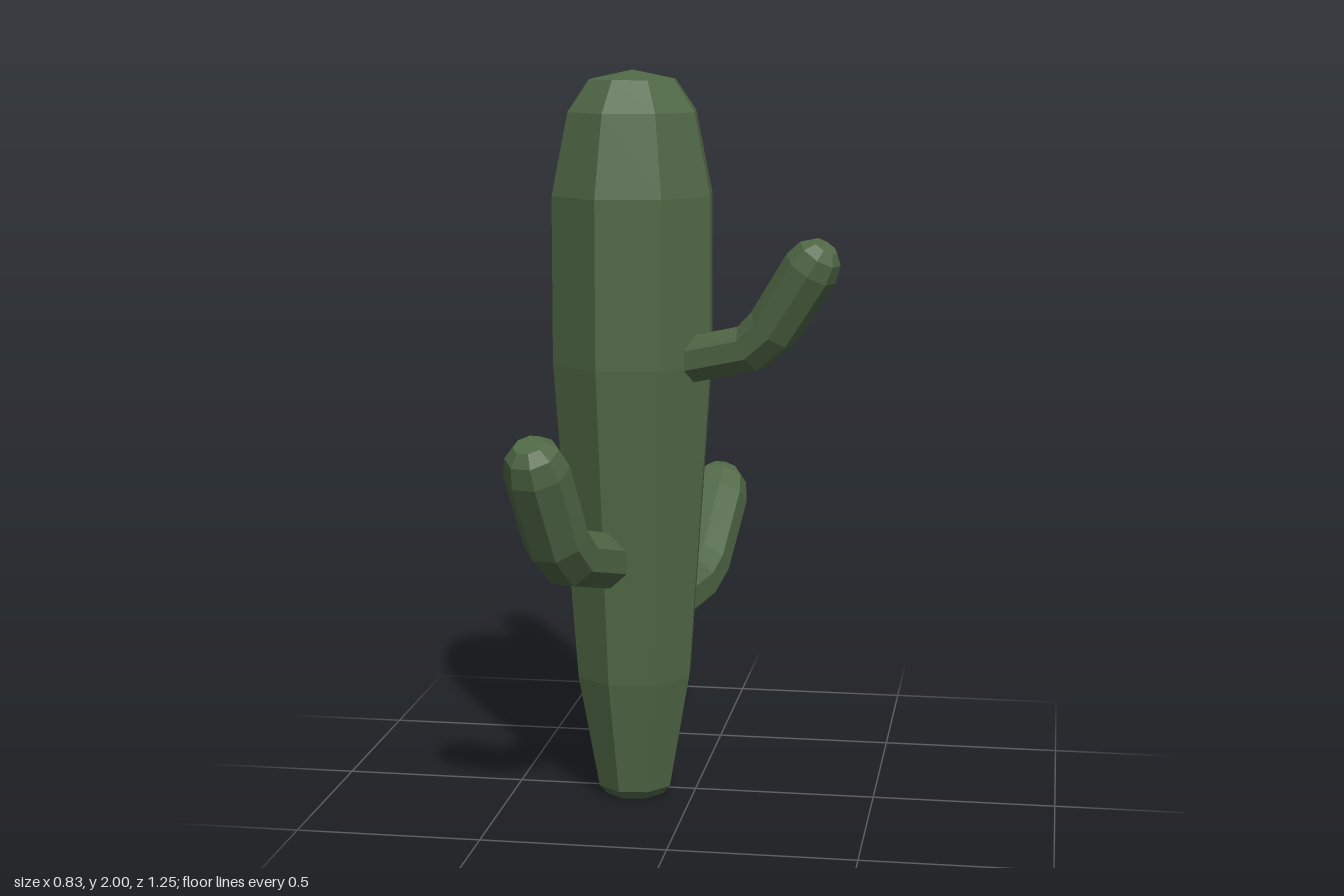
import * as THREE from 'three';

const SIDES = 8;

// Faceted tube through path points [x, y, z, radius], with closed ends
function loft(path) {
  const pts = path.map(p => new THREE.Vector3(p[0], p[1], p[2]));
  const n = pts.length;
  const run = pts[n - 1].clone().sub(pts[0]);
  const side = new THREE.Vector3(run.z, 0, -run.x).normalize();
  const pos = [], idx = [];
  pts.forEach((p, i) => {
    const before = p.clone().sub(pts[Math.max(i - 1, 0)]).normalize();
    const after = pts[Math.min(i + 1, n - 1)].clone().sub(p).normalize();
    const tangent = before.add(after).normalize();
    const s = side.clone().addScaledVector(tangent, -side.dot(tangent)).normalize();
    const up = new THREE.Vector3().crossVectors(tangent, s);
    for (let k = 0; k < SIDES; k++) {
      const a = (k + 0.5) / SIDES * Math.PI * 2;
      const v = p.clone()
        .addScaledVector(s, Math.cos(a) * path[i][3])
        .addScaledVector(up, Math.sin(a) * path[i][3]);
      pos.push(v.x, v.y, v.z);
    }
  });
  for (let i = 0; i < n - 1; i++) {
    for (let k = 0; k < SIDES; k++) {
      const a = i * SIDES + k, b = i * SIDES + (k + 1) % SIDES;
      idx.push(a, b, b + SIDES, a, b + SIDES, a + SIDES);
    }
  }
  const last = (n - 1) * SIDES;
  for (let k = 1; k < SIDES - 1; k++) {
    idx.push(0, k + 1, k, last, last + k, last + k + 1);
  }
  const g = new THREE.BufferGeometry();
  g.setAttribute('position', new THREE.Float32BufferAttribute(pos, 3));
  g.setIndex(idx);
  g.computeVertexNormals();
  return g;
}

// Adds a blunt rounded tip beyond the last centre point
function withTip(path) {
  const [a, b] = path.slice(-2);
  const r = b[3];
  const d = new THREE.Vector3(b[0] - a[0], b[1] - a[1], b[2] - a[2]).normalize();
  const step = (t, k) => [b[0] + d.x * t * r, b[1] + d.y * t * r, b[2] + d.z * t * r, r * k];
  return [...path.slice(0, -1), step(-0.1, 1), step(0.55, 0.82), step(0.88, 0.48)];
}

export function createModel() {
  const model = new THREE.Group();
  model.name = 'cactus';
  const green = new THREE.MeshStandardMaterial({ color: 0x506846, flatShading: true });
  green.name = 'cactus green';

  const add = (name, geometry) => {
    const mesh = new THREE.Mesh(geometry, green);
    mesh.name = name;
    model.add(mesh);
    return mesh;
  };

  // Trunk: eight-sided, narrow at the foot and domed on top
  const profile = [
    [0, 0], [0.085, 0], [0.106, 0.025], [0.165, 0.345], [0.229, 1.22],
    [0.228, 1.67], [0.182, 1.89], [0.122, 1.975], [0, 2],
  ].map(p => new THREE.Vector2(...p));
  const trunk = add('trunk', new THREE.LatheGeometry(profile, SIDES, THREE.MathUtils.degToRad(29)));
  trunk.position.set(-0.165, 0, 0.033);

  // Arms: each leaves the trunk, bends at an elbow and rises
  const arms = {
    frontArm: [
      [-0.222, 0.69, 0.17, 0.08], [-0.278, 0.745, 0.375, 0.083],
      [-0.298, 0.81, 0.445, 0.087], [-0.327, 1.01, 0.54, 0.087],
    ],
    leftArm: [
      [0, 1.235, 0.107, 0.066], [0.175, 1.28, 0.172, 0.068],
      [0.235, 1.335, 0.194, 0.072], [0.342, 1.505, 0.237, 0.074],
    ],
    upperBackArm: [
      [-0.163, 1.17, -0.15, 0.066], [-0.172, 1.215, -0.345, 0.068],
      [-0.197, 1.275, -0.415, 0.07], [-0.262, 1.64, -0.507, 0.07],
    ],
    lowerBackArm: [
      [-0.125, 0.5, -0.1, 0.083], [-0.068, 0.52, -0.33, 0.084],
      [-0.048, 0.565, -0.405, 0.088], [-0.014, 0.745, -0.535, 0.09],
    ],
  };
  for (const [name, path] of Object.entries(arms)) add(name, loft(withTip(path)));

  return model;
}
